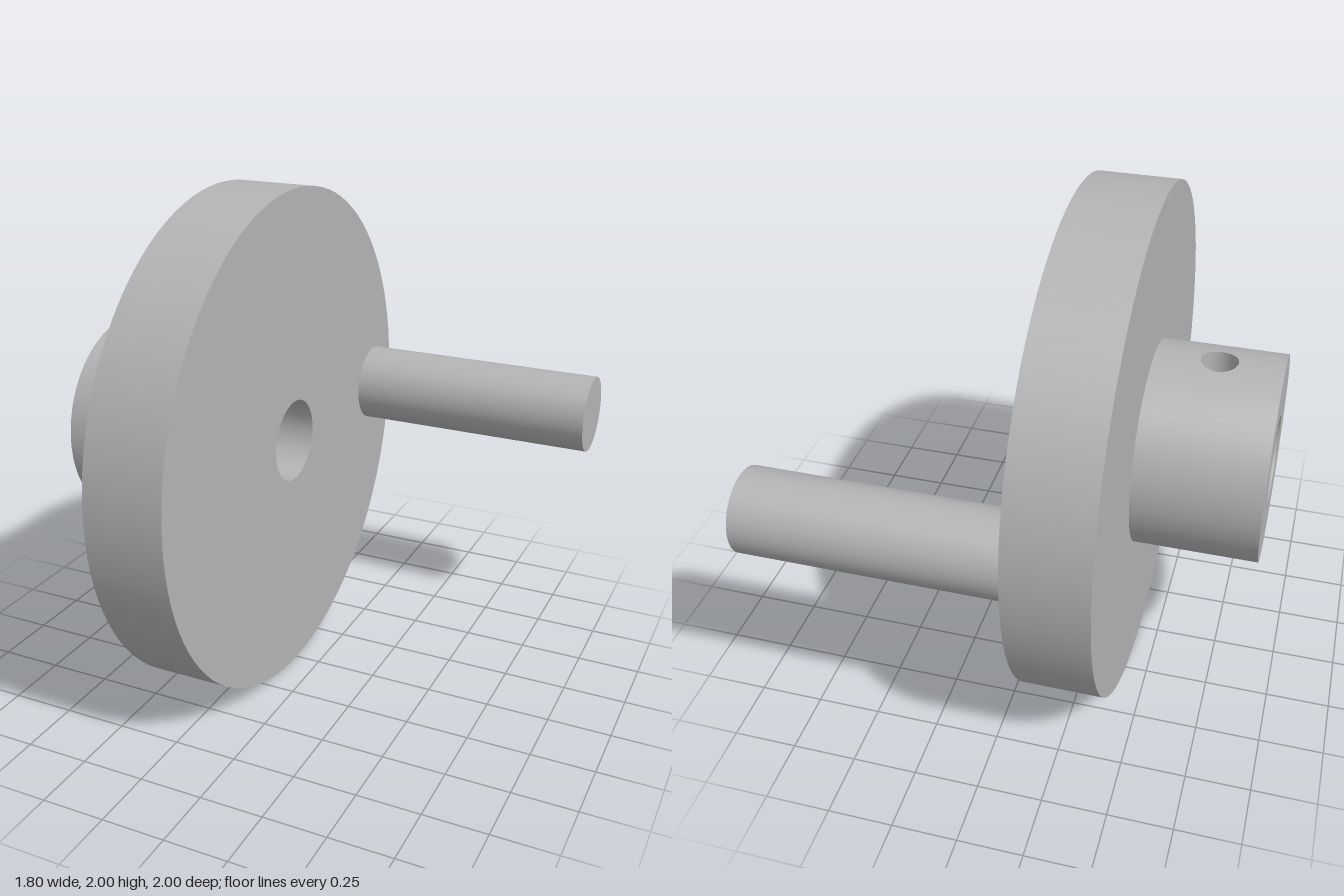
import * as THREE from 'three';
import { mergeGeometries } from 'three/addons/utils/BufferGeometryUtils.js';

const SEG = 96;
const HUB_R = 0.4, BORE_R = 0.165, DISC_R = 1;
const X_HUB = -0.9, X_BACK = -0.42, X_FRONT = -0.105, X_PIN = 0.9;
const HOLE_X = (X_HUB + X_BACK) / 2, HOLE_R = 0.07;

// Surface of revolution about the x axis, leaving a gap of +-gap radians at the top
function band(x0, r0, x1, r1, gap = 0) {
  const profile = [new THREE.Vector2(r0, x0), new THREE.Vector2(r1, x1)];
  const g = new THREE.LatheGeometry(profile, SEG, gap - Math.PI / 2, Math.PI * 2 - 2 * gap);
  return g.rotateZ(-Math.PI / 2);
}

// Surface through closed rings; point(k, t) gives a position on ring k
function rings(count, point, flip = false) {
  const pos = [], idx = [];
  for (let k = 0; k <= count; k++) {
    for (let i = 0; i < SEG; i++) pos.push(...point(k / count, (i / SEG) * Math.PI * 2));
  }
  for (let k = 0; k < count; k++) {
    for (let i = 0; i < SEG; i++) {
      const a = k * SEG + i, b = k * SEG + (i + 1) % SEG, c = a + SEG, d = b + SEG;
      if (flip) idx.push(a, c, b, b, c, d);
      else idx.push(a, b, c, b, d, c);
    }
  }
  const g = new THREE.BufferGeometry();
  g.setAttribute('position', new THREE.Float32BufferAttribute(pos, 3));
  g.setIndex(idx);
  g.computeVertexNormals();
  return g;
}

// Curved patch on a cylinder of radius r, pierced by the radial screw hole
function piercedPatch(r, gap, flip) {
  const half = (X_BACK - X_HUB) / 2;
  return rings(12, (k, t) => {
    const c = Math.cos(t), s = Math.sin(t), m = Math.max(Math.abs(c), Math.abs(s));
    const x = HOLE_X + THREE.MathUtils.lerp(HOLE_R * c, half * c / m, k);
    const a = THREE.MathUtils.lerp(Math.asin(HOLE_R * s / r), gap * s / m, k);
    return [x, r * Math.cos(a), r * Math.sin(a)];
  }, flip);
}

function merge(list) {
  return mergeGeometries(list.map((g) => {
    g.deleteAttribute('uv');
    return g;
  }));
}

export function createModel() {
  const steel = new THREE.MeshStandardMaterial({ color: 0xb4b4b4, side: THREE.DoubleSide });
  steel.name = 'plain grey';
  const model = new THREE.Group();
  model.name = 'crankDisc';
  const body = new THREE.Group();
  body.name = 'body';
  body.position.y = 1;
  model.add(body);
  const add = (name, geometry) => {
    const mesh = new THREE.Mesh(geometry, steel);
    mesh.name = name;
    body.add(mesh);
    return mesh;
  };

  // Large disc with its central bore
  add('disc', merge([
    band(X_BACK, HUB_R, X_BACK, DISC_R),
    band(X_BACK, DISC_R, X_FRONT, DISC_R),
    band(X_FRONT, DISC_R, X_FRONT, BORE_R),
    band(X_FRONT, BORE_R, X_BACK, BORE_R),
  ]));

  // Hub: end face, outer wall and bore, both walls pierced at the top
  add('hub', merge([
    band(X_HUB, BORE_R, X_HUB, HUB_R),
    band(X_HUB, HUB_R, X_BACK, HUB_R, 0.6),
    piercedPatch(HUB_R, 0.6, false),
    band(X_BACK, BORE_R, X_HUB, BORE_R, 1),
    piercedPatch(BORE_R, 1, true),
  ]));

  // Wall of the set-screw hole, from the hub surface down to the bore
  add('screwHole', rings(1, (k, t) => {
    const r = k ? BORE_R : HUB_R, z = HOLE_R * Math.sin(t);
    return [HOLE_X + HOLE_R * Math.cos(t), Math.sqrt(r * r - z * z), z];
  }));

  // Off-centre crank pin
  const pinGeometry = new THREE.CylinderGeometry(0.16, 0.16, X_PIN - X_FRONT, 64);
  const pin = add('crankPin', pinGeometry.rotateZ(-Math.PI / 2));
  pin.position.set((X_PIN + X_FRONT) / 2, 0, -0.8);

  return model;
}
